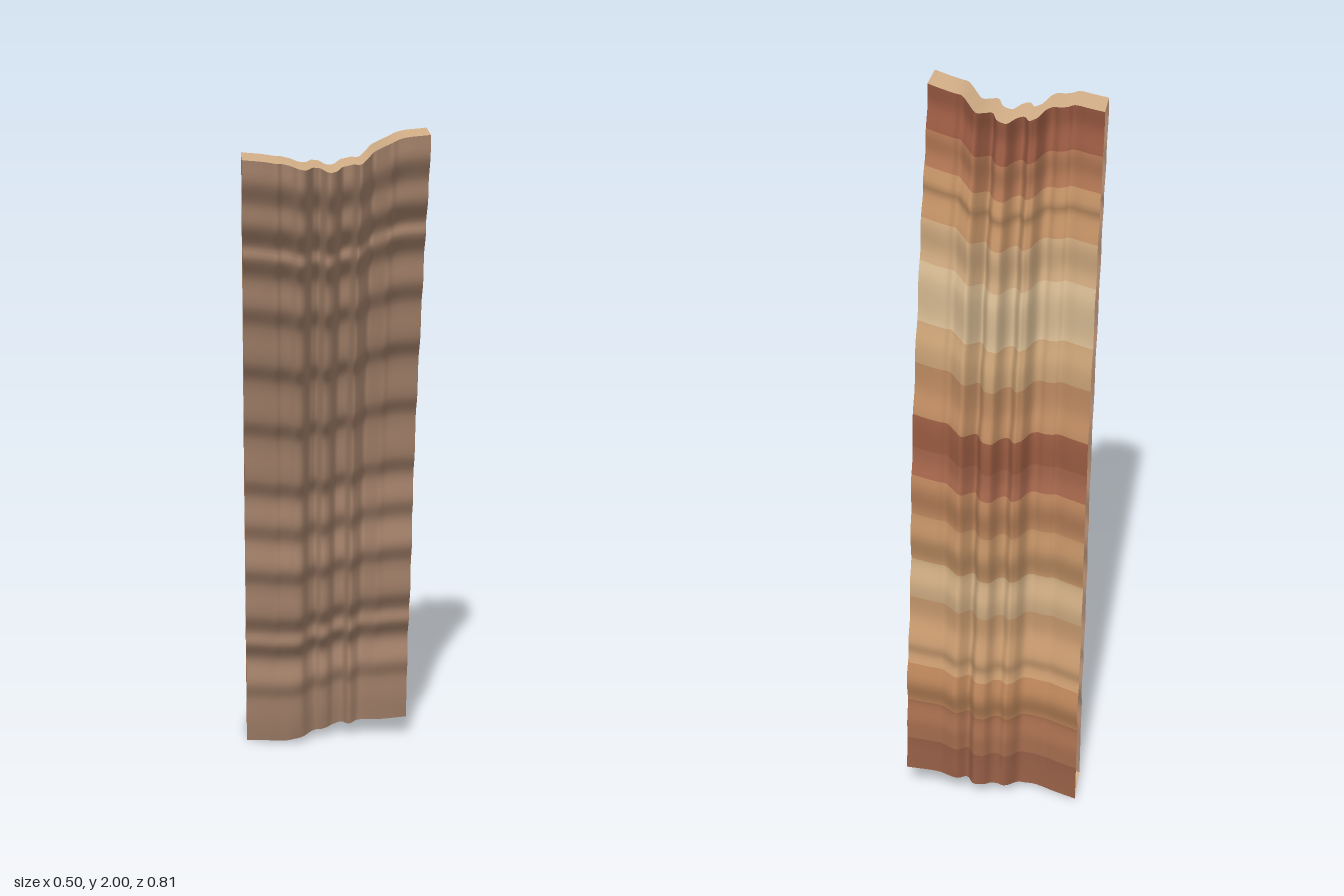
import * as THREE from 'three';

const HEIGHT = 1.94, THICK = 0.135, COLS = 120, ROWS = 180;

// Smooth curve through [position, value] pairs.
function curve(points) {
  const n = points.length - 1;
  const slope = points.map((p, i) => {
    const a = points[Math.max(i - 1, 0)], b = points[Math.min(i + 1, n)];
    return (b[1] - a[1]) / (b[0] - a[0]);
  });
  return (x) => {
    let i = 0;
    while (i < n - 1 && x > points[i + 1][0]) i++;
    const [x0, y0] = points[i], [x1, y1] = points[i + 1];
    const h = x1 - x0, t = (x - x0) / h, t2 = t * t, t3 = t2 * t;
    return y0 * (2 * t3 - 3 * t2 + 1) + slope[i] * h * (t3 - 2 * t2 + t)
      + y1 * (3 * t2 - 2 * t3) + slope[i + 1] * h * (t3 - t2);
  };
}

// Forward lean of the slab, from the foot to the top
const lean = curve([[0, -0.24], [0.1, -0.217], [0.3, -0.203], [0.4, -0.165], [0.6, -0.112],
  [0.8, -0.085], [1, -0.035], [1.2, 0.03], [1.4, 0.108], [1.6, 0.183], [1.75, 0.255],
  [1.85, 0.3], [1.94, 0.32]]);

// Small ledges stepping forward at these heights
const ledges = [0.18, 0.32, 0.43, 0.6, 0.75, 0.9, 1.1, 1.29, 1.47, 1.62, 1.72, 1.85];
const ripple = curve([[0, 0], ...ledges.flatMap((y) => [[y - 0.033, -0.009], [y + 0.033, 0.009]]), [HEIGHT, 0]]);

// Vertical flutes across the width, deep at the top and shallower at the foot
const topFlute = curve([[-0.25, 0.013], [-0.2, 0.043], [-0.16, 0.07], [-0.145, 0.06], [-0.12, 0.066],
  [-0.1, 0.085], [-0.08, 0.07], [-0.062, 0.005], [-0.055, -0.002], [-0.04, -0.01], [-0.022, 0.036],
  [0, 0.02], [0.018, -0.036], [0.028, -0.042], [0.05, -0.032], [0.066, 0.01], [0.085, -0.02],
  [0.105, -0.06], [0.125, -0.04], [0.15, -0.01], [0.17, -0.018], [0.2, -0.013], [0.25, 0.011]]);
const footFlute = curve([[-0.25, 0], [-0.19, 0.018], [-0.13, 0.038], [-0.1, 0.036], [-0.075, 0.03],
  [-0.05, 0.004], [-0.035, -0.004], [-0.02, 0], [0, -0.004], [0.02, -0.02], [0.05, -0.026],
  [0.07, 0], [0.1, -0.018], [0.16, -0.002], [0.25, -0.002]]);

// Uneven lower and upper edges
const foot = curve([[-0.25, 0], [-0.12, 0.015], [0, 0.037], [0.12, 0.058], [0.25, 0.07]]);
const crest = curve([[-0.25, 1.937], [-0.16, 1.935], [-0.08, 1.918], [0, 1.905],
  [0.08, 1.928], [0.16, 1.98], [0.25, 2]]);

// Point on the slab: u across, v up, d from front (0) to back (1)
function slabPoint(u, v, d) {
  const x = -0.252 + 0.504 * u, h = v * HEIGHT;
  return [
    x,
    THREE.MathUtils.lerp(foot(x), crest(x), v),
    lean(h) + ripple(h) + THREE.MathUtils.lerp(footFlute(x), topFlute(x), v ** 0.7) - d * THICK,
  ];
}

// Grid of points; its front faces the side where s runs right and t runs up.
function sheet(name, point, rows, material) {
  const pos = [], index = [];
  for (let j = 0; j <= rows; j++)
    for (let i = 0; i <= COLS; i++) pos.push(...point(i / COLS, j / rows));
  for (let j = 0; j < rows; j++)
    for (let i = 0; i < COLS; i++) {
      const a = j * (COLS + 1) + i, b = a + COLS + 1;
      index.push(a, a + 1, b + 1, a, b + 1, b);
    }
  const g = new THREE.BufferGeometry();
  g.setAttribute('position', new THREE.Float32BufferAttribute(pos, 3));
  g.setIndex(index);
  g.computeVertexNormals();
  const mesh = new THREE.Mesh(g, material);
  mesh.name = name;
  return mesh;
}

const paint = (color) => new THREE.MeshStandardMaterial({ color, side: THREE.DoubleSide });

export function createModel() {
  const group = new THREE.Group();
  group.name = 'leaningRockSlab';

  // Plain front face
  group.add(sheet('frontFace', (s, t) => slabPoint(s, t, 0), ROWS, paint(0xa28069)));

  // Back face, layered in coloured strata: [top of the layer, colour]
  const strata = [[0.05, 0x8f5a42], [0.11, 0xa0694b], [0.17, 0xb27e55], [0.27, 0xc0946a],
    [0.33, 0xc5a47c], [0.4, 0xb88a60], [0.46, 0xb07c56], [0.5, 0x9c6047], [0.55, 0x94583f],
    [0.62, 0xb5845c], [0.68, 0xc09a70], [0.76, 0xcbb08a], [0.82, 0xc4a078], [0.89, 0xb98a60],
    [0.94, 0xa8704f], [1, 0x93563f]];
  const back = sheet('strataBackFace', (s, t) => slabPoint(1 - s, t, 1), ROWS,
    strata.map(([, color]) => paint(color)));
  let row = 0;
  strata.forEach(([top], i) => {
    const end = Math.round(top * ROWS);
    back.geometry.addGroup(row * COLS * 6, (end - row) * COLS * 6, i);
    row = end;
  });
  group.add(back);

  // End caps; the two long sides stay open
  const tan = paint(0xd4b088);
  group.add(sheet('topCap', (s, t) => slabPoint(s, 1, t), 4, tan));
  group.add(sheet('bottomCap', (s, t) => slabPoint(s, 0, 1 - t), 4, tan));
  return group;
}
